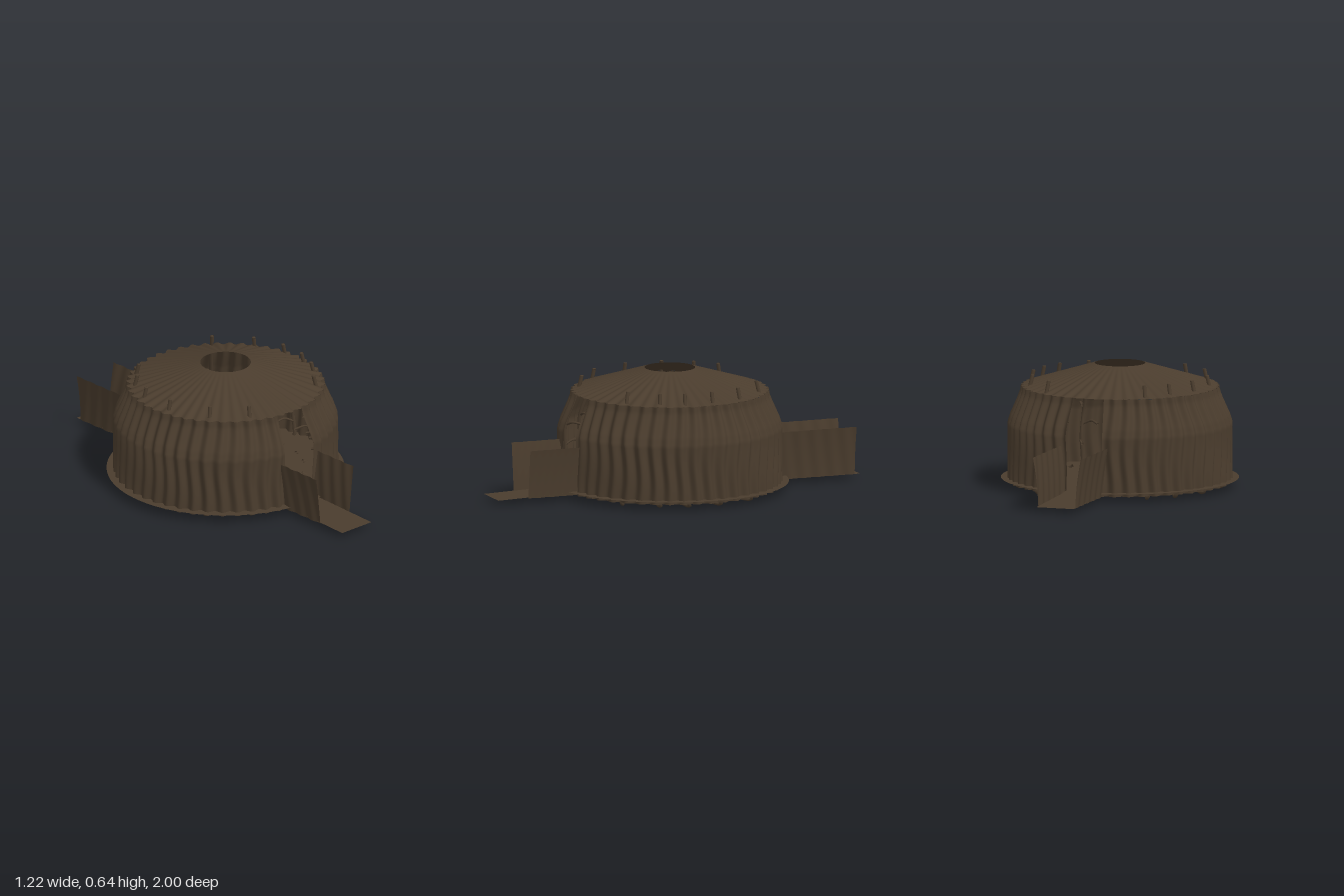
import * as THREE from 'three';
import { ParametricGeometry } from 'three/addons/geometries/ParametricGeometry.js';

const CZ = 0.012;   // centre of the hut along z
const DOOR = 0.172; // half angle of each doorway
const FOLDS = 48;

const hide = new THREE.MeshStandardMaterial({ color: 0x4a3c2d, side: THREE.DoubleSide });
hide.name = 'dark brown hide';

function add(parent, name, geometry) {
  const mesh = new THREE.Mesh(geometry, hide);
  mesh.name = name;
  parent.add(mesh);
  return mesh;
}

// Angle a is measured from the front (+z) towards +x
const polar = (a, r, y) => new THREE.Vector3(Math.sin(a) * r, y, Math.cos(a) * r + CZ);

// Wall radius by height: straight below, drawn in at the shoulder
const PROFILE = [[0.025, 0.568], [0.33, 0.568], [0.37, 0.556], [0.41, 0.538], [0.46, 0.516], [0.495, 0.503], [0.52, 0.5]];
function wallRadius(y) {
  for (let i = 1; i < PROFILE.length; i++) {
    const [y0, r0] = PROFILE[i - 1], [y1, r1] = PROFILE[i];
    if (y <= y1) return r0 + (r1 - r0) * (y - y0) / (y1 - y0);
  }
  return PROFILE[PROFILE.length - 1][1];
}

// Vertical folds that wander slightly with height
const fold = (a, y) => 0.011 * Math.cos(FOLDS * a + 0.7 * Math.sin(y * 14 + a * 3) + 0.5 * Math.sin(a * 5));

export function createModel() {
  const hut = new THREE.Group();
  hut.name = 'hut';

  // Pleated wall halves between the front and back doorways
  for (const side of [1, -1]) {
    add(hut, side > 0 ? 'leftWall' : 'rightWall', new ParametricGeometry((u, v, t) => {
      const a = side * (DOOR + u * (Math.PI - 2 * DOOR));
      const y = 0.025 + v * 0.495;
      t.copy(polar(a, wallRadius(y) + fold(a, y), y));
    }, 200, 24));
  }

  // Low conical roof with an open smoke hole
  add(hut, 'roof', new ParametricGeometry((u, v, t) => {
    const a = u * Math.PI * 2;
    const r = 0.5 + (0.13 - 0.5) * v;
    const w = fold(a, 0.52) * (1 - v);
    t.copy(polar(a, r + w, 0.52 + 0.117 * v + w * 0.15));
  }, 288, 8));

  // Round ground sheet
  const floor = add(hut, 'groundSheet', new THREE.CircleGeometry(0.612, 96));
  floor.rotation.x = -Math.PI / 2;
  floor.position.set(0, 0.045, CZ);

  // Entrance mats and side flaps, front and back
  for (const dir of [1, -1]) {
    const label = dir > 0 ? 'front' : 'back';
    add(hut, label + 'Mat', new ParametricGeometry((u, v, t) => {
      t.set(-0.102 + 0.204 * u, 0.042 - 0.016 * v, dir * (0.5 + 0.5 * v));
    }, 1, 4));
    const start = dir > 0 ? 0.565 : 0.54;
    const end = dir > 0 ? 0.835 : 0.97;
    for (const side of [1, -1]) {
      add(hut, label + (side > 0 ? 'LeftFlap' : 'RightFlap'), new ParametricGeometry((u, v, t) => {
        const z = start + (end - start) * u;
        const ripple = 0.003 * Math.sin(z * 75 + v * 3);
        t.set(side * (0.103 + 0.012 * v + 0.014 * v * v + ripple), 0.026 + 0.252 * v, dir * z);
      }, 36, 8));
    }
  }

  // Bent poles: feet under the sheet, tips through the roof [x, z]
  const tips = [[-0.27, -0.37], [0.26, -0.37], [-0.37, -0.27], [0.41, -0.21], [-0.45, -0.12], [0.46, -0.04],
    [-0.46, 0.08], [0.46, 0.11], [-0.37, 0.29], [0.41, 0.23], [-0.22, 0.43], [0.3, 0.37]];
  tips.forEach(([x, z], i) => {
    const pole = new THREE.Group();
    pole.name = 'pole';
    hut.add(pole);
    const a = Math.atan2(x, z - CZ);
    const path = [[0.4, 0.05, -0.09], [0.46, 0.022, -0.05], [0.535, 0.013, 0.02], [0.545, 0.05, 0], [0.54, 0.18, 0.015],
      [0.54, 0.32, -0.01], [0.495, 0.45, 0], [0.468, 0.53, 0], [0.455, 0.583, 0]];
    const bend = i % 2 ? 1 : -1;
    const curve = new THREE.CatmullRomCurve3(path.map(([r, y, s]) => polar(a + s * bend, r, y)));
    add(pole, 'poleShaft', new THREE.TubeGeometry(curve, 48, 0.01, 8));
    const tip = add(pole, 'poleTip', new THREE.SphereGeometry(0.01, 8, 6));
    tip.position.copy(polar(a, 0.455, 0.583));
    tip.scale.y = 0.3;

    // Short twigs pointing into the hut
    for (let k = 0; k < 3; k++) {
      const y = 0.14 + k * 0.1 + 0.02 * Math.sin(i * 2.3);
      const s = (k % 2 ? -1 : 1) * 0.06;
      const twig = new THREE.CatmullRomCurve3([polar(a, 0.54, y), polar(a + s, 0.5, y + 0.02), polar(a + s * 1.6, 0.44, y + 0.01)]);
      add(pole, 'twig', new THREE.TubeGeometry(twig, 10, 0.006, 6));
    }
  });

  return hut;
}
